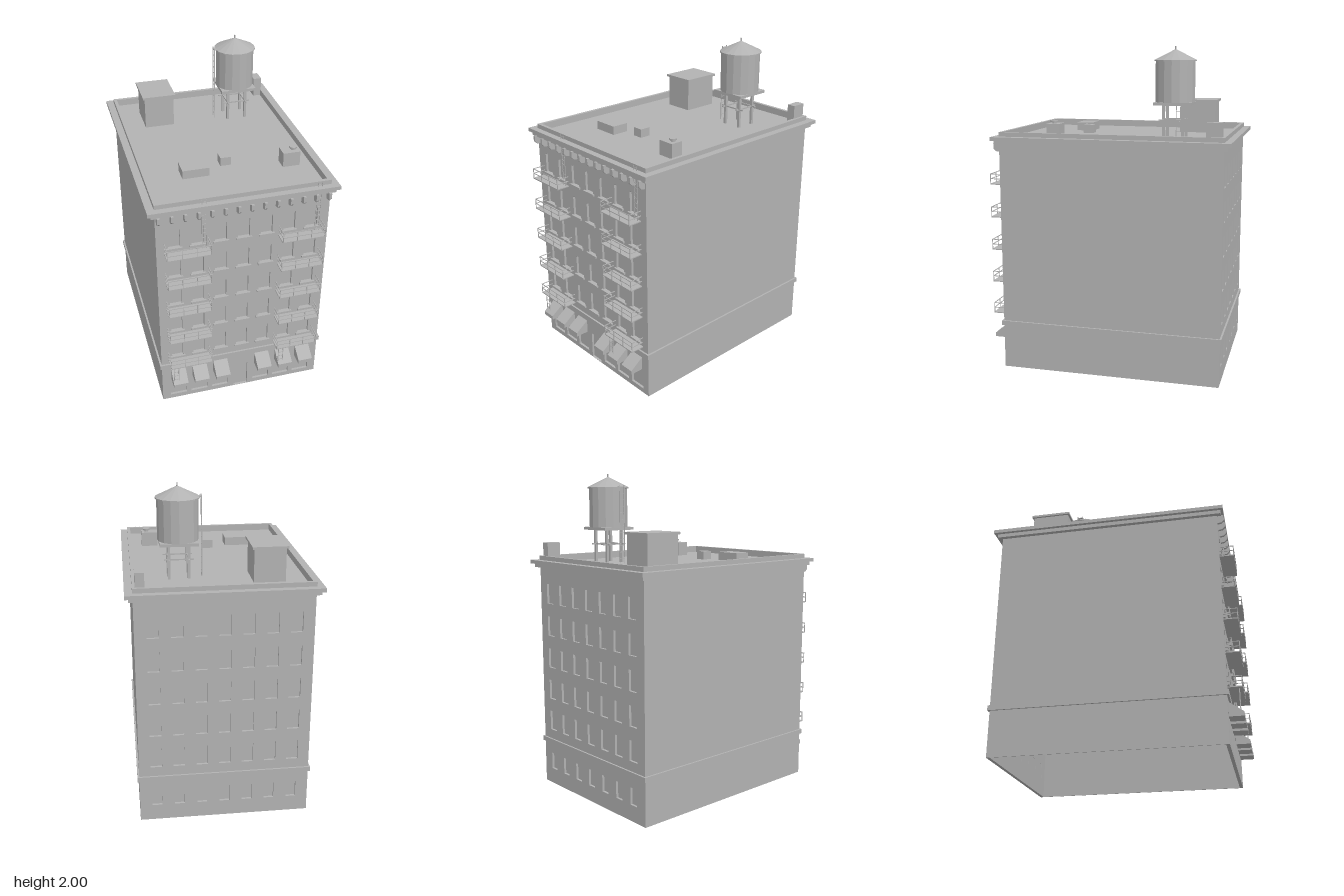
import * as THREE from 'three';

export function createModel() {
  const model = new THREE.Group();
  const stone = new THREE.MeshStandardMaterial({ color: 0xb2b2b2, side: THREE.DoubleSide });
  stone.name = 'grey stone';

  const add = (name, geo, parent = model) => {
    const m = new THREE.Mesh(geo, stone);
    m.name = name;
    parent.add(m);
    return m;
  };
  const group = (name) => {
    const g = new THREE.Group();
    g.name = name;
    model.add(g);
    return g;
  };
  // box given by its limits on each axis
  const box = (name, x0, x1, y0, y1, z0, z1, parent) => add(name,
    new THREE.BoxGeometry(x1 - x0, y1 - y0, z1 - z0)
      .translate((x0 + x1) / 2, (y0 + y1) / 2, (z0 + z1) / 2), parent);
  const cyl = (name, rt, rb, y0, y1, x, z, n, parent) => add(name,
    new THREE.CylinderGeometry(rt, rb, y1 - y0, n).toNonIndexed().translate(x, (y0 + y1) / 2, z), parent);
  // rectangle outline with clipped top corners
  const outline = (C, x0, x1, y0, y1, c = 0) => {
    const p = new C();
    p.moveTo(x0, y0);
    p.lineTo(x1, y0);
    p.lineTo(x1, y1 - c);
    if (c) p.lineTo(x1 - c, y1);
    p.lineTo(x0 + c, y1);
    if (c) p.lineTo(x0, y1 - c);
    p.closePath();
    return p;
  };
  // horizontal rectangular band around the building
  const band = (name, x, z0, z1, t, y0, y1) => {
    const s = outline(THREE.Shape, -x, x, -z1, -z0);
    s.holes.push(outline(THREE.Path, -x + t, x - t, -z1 + t, -z0 - t));
    add(name, new THREE.ExtrudeGeometry(s, { depth: y1 - y0, bevelEnabled: false })
      .rotateX(-Math.PI / 2).translate(0, y0, 0));
  };

  const W = 0.515, ZF = 0.66, ZB = -0.70, T = 0.02, TOP = 1.45;
  const cols = [-3, -2, -1, 0, 1, 2, 3].map((i) => i * 0.137);
  const rows = [0, 1, 2, 3, 4].map((i) => 0.365 + i * 0.207);

  // Wall with recessed openings, each [x0, x1, y0, y1, corner]
  const wall = (name, openings, z0, paneZ) => {
    const g = group(name);
    const s = outline(THREE.Shape, -W, W, 0, TOP);
    for (const [x0, x1, y0, y1, c] of openings) {
      s.holes.push(outline(THREE.Path, x0, x1, y0, y1, c));
      box('pane', x0, x1, y0, y1, paneZ - 0.002, paneZ + 0.002, g);
    }
    add('masonry', new THREE.ExtrudeGeometry(s, { depth: T, bevelEnabled: false }).translate(0, 0, z0), g);
  };
  const upper = [];
  for (const y of rows) for (const x of cols) upper.push([x - 0.035, x + 0.035, y, y + 0.125, 0.007]);
  const shops = cols.filter((x) => x !== 0);
  wall('frontWall', [
    ...upper,
    ...shops.map((x) => [x - 0.054, x + 0.054, 0.03, 0.195, 0.005]),
    [-0.045, 0.045, 0.002, 0.18, 0],
  ], ZF - T, ZF - T + 0.003);
  wall('backWall', [
    ...upper.map(([a, b, c, d]) => [a, b, c, d, 0]),
    ...cols.map((x) => [x - 0.03, x + 0.03, 0.1, 0.205, 0]),
  ], ZB, ZB + T - 0.003);
  for (const s of [-1, 1]) {
    box('sideWall', s * W - 0.005 * (s + 1) / 2, s * W + 0.005 * (1 - s) / 2, 0, TOP, ZB, ZF);
  }
  box('roof', -W, W, TOP - 0.005, TOP, ZB, ZF);

  // Belt course, cornice and parapet
  band('beltCourse', 0.526, -0.711, 0.671, 0.013, 0.275, 0.305);
  band('lowerCornice', 0.54, -0.725, 0.685, 0.03, 1.42, 1.443);
  band('upperCornice', 0.56, -0.745, 0.7, 0.05, 1.443, 1.465);
  band('parapet', 0.516, -0.703, 0.66, 0.021, 1.45, 1.492);

  // Cornice brackets
  const brackets = group('corniceBrackets');
  const bp = new THREE.Shape([[0.655, 1.425], [0.7, 1.425], [0.7, 1.39], [0.685, 1.375], [0.655, 1.37]]
    .map(([z, y]) => new THREE.Vector2(-z, y)));
  for (let i = 0; i < 14; i++) {
    add('bracket', new THREE.ExtrudeGeometry(bp, { depth: 0.016, bevelEnabled: false })
      .rotateY(Math.PI / 2).translate(-0.508 + i * 0.0769, 0, 0), brackets);
  }

  // Window sills
  const sills = group('windowSills');
  for (const y of rows) for (const x of cols) {
    box('sill', x - 0.047, x + 0.047, y - 0.012, y, ZF - 0.005, ZF + 0.012, sills);
  }

  // Shop awnings
  const awnings = group('awnings');
  const ap = new THREE.Shape([[0.66, 0.17], [0.66, 0.255], [0.745, 0.195], [0.745, 0.17]]
    .map(([z, y]) => new THREE.Vector2(-z, y)));
  for (const x of shops) {
    add('awning', new THREE.ExtrudeGeometry(ap, { depth: 0.092, bevelEnabled: false })
      .rotateY(Math.PI / 2).translate(x - 0.046, 0, 0), awnings);
  }

  // Vertical ladder with rungs along x
  const ladder = (name, xa, xb, y0, y1, z) => {
    const g = group(name);
    for (const x of [xa, xb]) box('rail', x - 0.002, x + 0.002, y0, y1, z - 0.002, z + 0.002, g);
    for (let y = y0 + 0.015; y < y1; y += 0.03) {
      box('rung', xa, xb, y - 0.0015, y + 0.0015, z - 0.0015, z + 0.0015, g);
    }
  };

  // Fire escapes
  const r = 0.002;
  for (const cx of [-0.34, 0.34]) {
    const g = group('fireEscape');
    const x0 = cx - 0.13, x1 = cx + 0.13;
    for (const wy of rows) {
      const y = wy - 0.032;
      box('platform', x0, x1, y, y + 0.006, ZF, 0.745, g);
      for (const h of [0.036, 0.066]) {
        box('frontRail', x0, x1, y + h - r, y + h + r, 0.741, 0.745, g);
        for (const x of [x0 + r, x1 - r]) box('sideRail', x - r, x + r, y + h - r, y + h + r, ZF, 0.745, g);
      }
      for (let i = 0; i <= 3; i++) {
        const x = x0 + r + i * (0.26 - 2 * r) / 3;
        box('post', x - r, x + r, y, y + 0.066, 0.741, 0.745, g);
      }
    }
    ladder('dropLadder', cx - 0.11, cx - 0.08, 0.21, 0.335, 0.725);
    ladder('roofLadder', cx + 0.09, cx + 0.115, 1.165, 1.49, 0.672);
  }

  // Rooftop structures
  box('stairBulkhead', -0.368, -0.182, TOP, 1.648, -0.55, -0.32);
  box('bulkheadCap', -0.38, -0.17, 1.648, 1.662, -0.56, -0.31);
  box('skylight', -0.287, -0.125, TOP, 1.503, 0.26, 0.367);
  box('roofHatch', -0.035, 0.03, TOP, 1.503, 0.21, 0.278);
  box('ventUnit', 0.32, 0.425, TOP, 1.54, 0.307, 0.387);
  cyl('ventPipe', 0.014, 0.014, 1.54, 1.552, 0.392, 0.347, 6);
  cyl('ventCap', 0.024, 0.024, 1.55, 1.56, 0.392, 0.347, 6);
  box('chimney', 0.447, 0.5, TOP, 1.575, -0.685, -0.595);

  // Water tower
  const tank = group('waterTower');
  const tx = 0.236, tz = -0.365;
  for (const sx of [-1, 1]) for (const sz of [-1, 1]) {
    const x = tx + sx * 0.058, z = tz + sz * 0.058;
    box('leg', x - 0.008, x + 0.008, TOP, 1.656, z - 0.008, z + 0.008, tank);
  }
  for (const s of [-1, 1]) {
    box('braceX', tx - 0.087, tx + 0.087, 1.562, 1.57, tz + s * 0.058 - 0.004, tz + s * 0.058 + 0.004, tank);
    box('braceZ', tx + s * 0.058 - 0.004, tx + s * 0.058 + 0.004, 1.562, 1.57, tz - 0.087, tz + 0.087, tank);
  }
  box('tankPlatform', tx - 0.112, tx + 0.112, 1.655, 1.672, tz - 0.112, tz + 0.112, tank);
  const flat = (m) => m.geometry.computeVertexNormals();
  flat(cyl('tankBody', 0.12, 0.12, 1.672, 1.918, tx, tz, 16, tank));
  flat(cyl('tankRim', 0.129, 0.129, 1.912, 1.92, tx, tz, 16, tank));
  flat(cyl('tankRoof', 0.006, 0.129, 1.92, 1.98, tx, tz, 16, tank));
  cyl('finial', 0.004, 0.005, 1.975, 2.0, tx, tz, 6, tank);
  for (const z of [-0.383, -0.347]) box('tankLadderRail', 0.096, 0.1, TOP, 1.93, z - r, z + r, tank);
  for (let y = 1.48; y < 1.93; y += 0.04) box('tankLadderRung', 0.0965, 0.0995, y, y + 0.003, -0.383, -0.347, tank);
  box('tankLadderTop', 0.096, 0.125, 1.918, 1.922, -0.385, -0.345, tank);

  return model;
}
